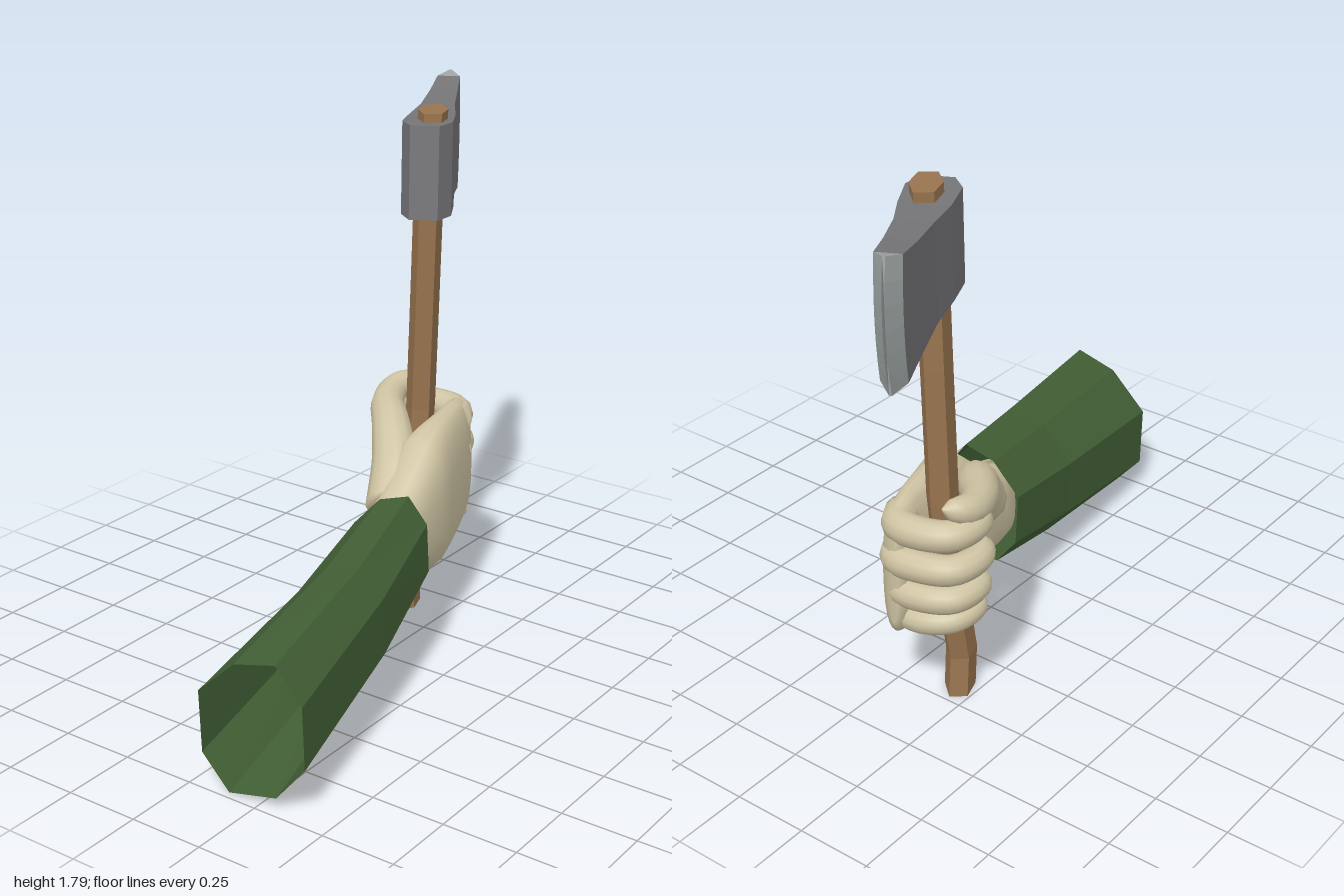
import * as THREE from 'three';

const mat = (name, color, side = THREE.FrontSide) => {
  const m = new THREE.MeshStandardMaterial({ color, side });
  m.name = name;
  return m;
};

// Skin a list of rings; each ring runs counter-clockwise about the sweep direction.
function loft(rings, { flat = true, start = true, end = true } = {}) {
  const n = rings[0].length, last = (rings.length - 1) * n, index = [];
  for (let i = 0; i < rings.length - 1; i++) {
    for (let j = 0; j < n; j++) {
      const a = i * n + j, b = i * n + (j + 1) % n;
      index.push(a, b, b + n, a, b + n, a + n);
    }
  }
  for (let j = 1; j < n - 1; j++) {
    if (start) index.push(0, j + 1, j);
    if (end) index.push(last, last + j, last + j + 1);
  }
  let g = new THREE.BufferGeometry();
  g.setAttribute('position', new THREE.Float32BufferAttribute(rings.flat(2), 3));
  g.setIndex(index);
  if (flat) g = g.toNonIndexed();
  g.computeVertexNormals();
  return g;
}

// Round, smooth digit along a path, narrowing from r0 to r1 with a rounded tip.
function digit(points, r0, r1) {
  const curve = new THREE.CatmullRomCurve3(points.map(p => new THREE.Vector3(...p)));
  const N = 24, S = 12, frames = curve.computeFrenetFrames(N), rings = [];
  for (let i = 0; i <= N; i++) {
    const t = i / N, k = Math.max(0, (t - 0.86) / 0.14);
    const r = (r0 + (r1 - r0) * t) * Math.sqrt(Math.max(0.01, 1 - k * k));
    const c = curve.getPointAt(t), ring = [];
    for (let j = 0; j < S; j++) {
      const a = j / S * Math.PI * 2;
      ring.push(c.clone().addScaledVector(frames.normals[i], r * Math.cos(a))
        .addScaledVector(frames.binormals[i], r * Math.sin(a)).toArray());
    }
    rings.push(ring);
  }
  return loft(rings, { flat: false });
}

export function createModel() {
  const root = new THREE.Group();
  root.name = 'armWithAxe';
  const skin = mat('skin', 0xcfc4a3);
  const cloth = mat('green cloth', 0x425f35, THREE.DoubleSide);
  const wood = mat('wood', 0x98744f);
  const steel = mat('steel', 0x757578);
  const edgeSteel = mat('sharpened steel', 0x9ba3a1);
  const add = (name, geometry, material, parent = root) => {
    const m = new THREE.Mesh(geometry, material);
    m.name = name;
    parent.add(m);
  };

  // Sleeve: open eight-sided tube, section given as [z, y]
  const octagon = [[0.19, 0.135], [0.19, -0.075], [0.08, -0.205], [-0.095, -0.245],
    [-0.19, -0.135], [-0.19, 0.075], [-0.05, 0.205], [0.1, 0.245]];
  const sleeve = [ // x, y, z, y scale, z scale, x lean by y, x lean by z
    [-0.982, 0.245, 0.23, 1, 1, -0.04, 0.03],
    [-0.4, 0.322, 0.125, 0.91, 0.83, -0.05, 0.07],
    [0.005, 0.41, 0.035, 0.816, 0.71, -0.06, 0.09],
  ].map(([x, y, z, sy, sz, ly, lz]) => octagon.map(([oz, oy]) =>
    [x + oy * ly + oz * lz, y + oy * sy, z + oz * sz]));
  add('sleeve', loft(sleeve, { start: false, end: false }), cloth);

  // Handle: bent six-sided shaft, section given as [x, z]
  const hexagon = [[-0.083, 0.02], [-0.045, 0.065], [0.03, 0.04],
    [0.083, -0.02], [0.045, -0.065], [-0.03, -0.04]];
  const shaft = [[0, 0.4, -0.178], [0.14, 0.388, -0.175], [0.3, 0.415, -0.172],
    [0.74, 0.457, -0.16], [1.2, 0.462, -0.147], [1.43, 0.463, -0.14], [1.77, 0.483, -0.136],
  ].map(([y, x, z]) => hexagon.map(([hx, hz]) => [x + hx, y, z + hz]));
  add('handle', loft(shaft), wood);

  // Axe head: sections along the blade direction as [u, half thickness, bottom, top, bulge]
  const ROWS = 6;
  const section = ([u, h, bottom, top, bulge]) => {
    const point = (t, v) => {
      const y = bottom + (top - bottom) * t;
      const s = u + (y - 1.59) * 0.08 + bulge * (1 - (2 * t - 1) ** 2);
      return [0.475 + s * 0.894 + v * 0.447, y, -0.145 - s * 0.447 + v * 0.894];
    };
    const ring = [];
    for (let i = ROWS; i >= 0; i--) ring.push(point(i / ROWS, h));
    for (let i = 0; i <= ROWS; i++) ring.push(point(i / ROWS, -h));
    return ring;
  };
  const bevel = [0.5, 0.04, 1.385, 1.78, 0.025];
  const head = new THREE.Group();
  head.name = 'axeHead';
  root.add(head);
  add('headBody', loft([[-0.13, 0.048, 1.43, 1.74, 0], [-0.06, 0.084, 1.43, 1.74, 0],
    [0.07, 0.077, 1.43, 1.737, 0], [0.2, 0.058, 1.422, 1.742, 0],
    [0.36, 0.048, 1.405, 1.757, 0.01], bevel].map(section), { end: false }), steel, head);
  add('cuttingEdge', loft([bevel, [0.55, 0.004, 1.367, 1.793, 0.035]].map(section),
    { start: false }), edgeSteel, head);

  // Hand: wrist and palm as rounded sections along x [x, y, z, half height, half depth]
  const hand = new THREE.Group();
  hand.name = 'hand';
  root.add(hand);
  const soft = (c, p) => Math.sign(c) * Math.abs(c) ** p;
  const palm = [[-0.07, 0.4, 0.035, 0.14, 0.085], [0, 0.405, 0.03, 0.152, 0.095],
    [0.1, 0.44, 0.012, 0.185, 0.1], [0.2, 0.478, 0, 0.235, 0.112],
    [0.3, 0.487, -0.012, 0.257, 0.092], [0.4, 0.493, -0.035, 0.252, 0.077],
    [0.5, 0.505, -0.06, 0.242, 0.066], [0.58, 0.508, -0.085, 0.228, 0.06],
    [0.63, 0.508, -0.105, 0.205, 0.045], [0.65, 0.508, -0.115, 0.16, 0.02],
  ].map(([x, y, z, hy, hz]) => Array.from({ length: 24 }, (_, j) => {
    const a = j / 24 * Math.PI * 2;
    return [x, y + hy * soft(Math.cos(a), 0.8), z + hz * soft(Math.sin(a), 0.8)];
  }));
  add('palm', loft(palm, { flat: false }), skin, hand);

  // Four fingers curling round the handle: [knuckle y, tip y, radius, reach]
  [[0.675, 0.7, 0.056, 0], [0.565, 0.592, 0.055, 0.015],
    [0.445, 0.472, 0.052, 0], [0.34, 0.378, 0.047, -0.02],
  ].forEach(([y0, y1, r, reach], i) => {
    const y = t => y0 + (y1 - y0) * t;
    add(`finger${i + 1}`, digit([
      [0.53, y(0), -0.06], [0.6 + reach, y(0.15), -0.105], [0.61 + reach, y(0.4), -0.19],
      [0.575 + reach, y(0.7), -0.285 - reach], [0.49, y(0.9), -0.31 - reach],
      [0.41, y(1), -0.275]], r, r * 0.8), skin, hand);
  });

  // Thumb crossing behind the handle
  add('thumb', digit([[0.1, 0.5, -0.03], [0.2, 0.62, -0.09], [0.3, 0.705, -0.175],
    [0.4, 0.735, -0.26], [0.5, 0.755, -0.295], [0.59, 0.785, -0.265]], 0.09, 0.042), skin, hand);

  return root;
}
